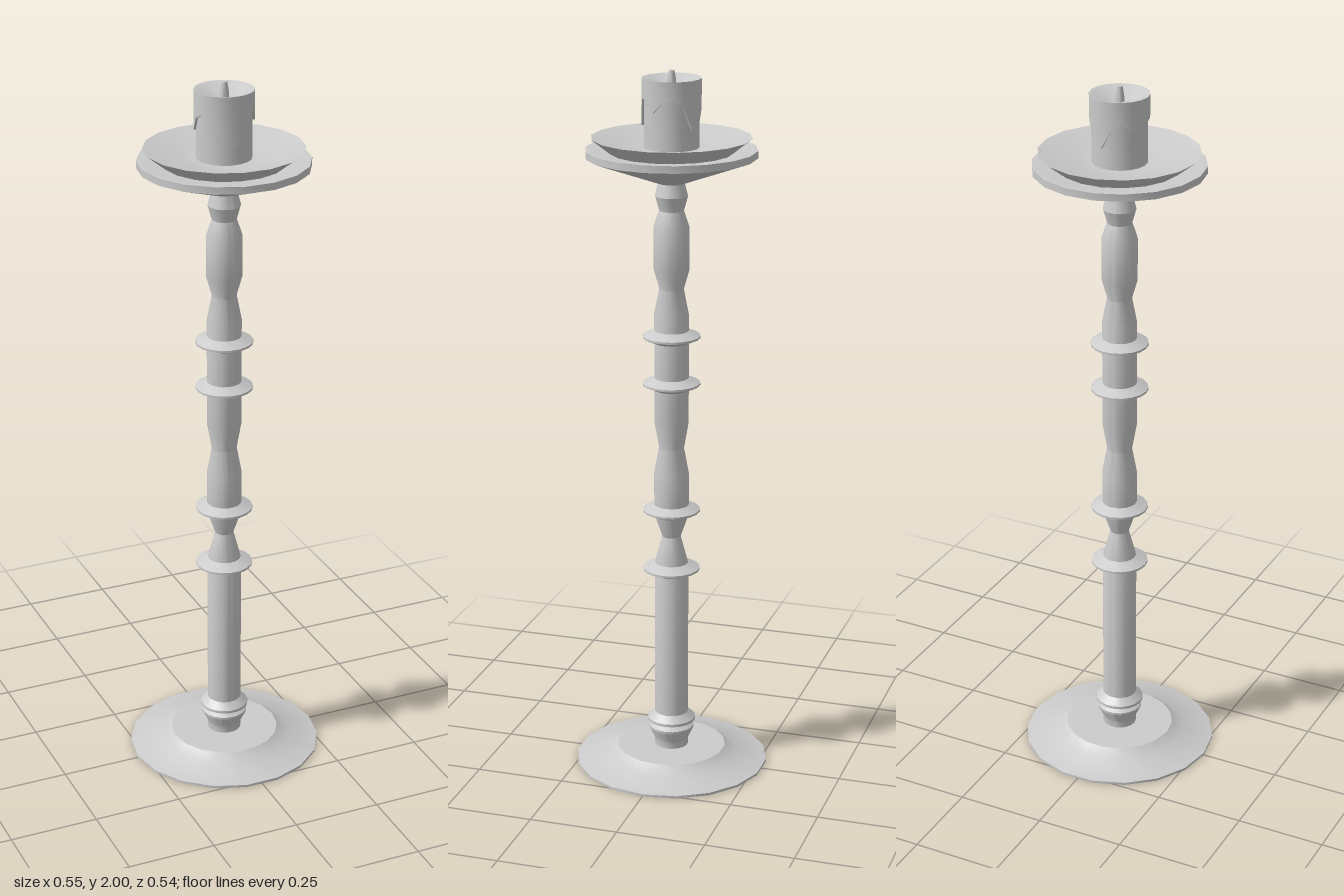
import * as THREE from 'three';
import { toCreasedNormals } from 'three/addons/utils/BufferGeometryUtils.js';

const SIDES = 18;
const material = new THREE.MeshStandardMaterial({ color: 0xcccccc, side: THREE.DoubleSide });

// Turned solid from [radius, height] pairs, bottom to top, with a corner on +x
function turned(profile) {
  const geometry = new THREE.LatheGeometry(profile.map(([r, y]) => new THREE.Vector2(r, y)), SIDES);
  return geometry.rotateY(Math.PI / 2);
}

function addPart(group, name, geometry) {
  const mesh = new THREE.Mesh(toCreasedNormals(geometry, THREE.MathUtils.degToRad(28)), material);
  mesh.name = name;
  group.add(mesh);
  return mesh;
}

export function createModel() {
  const group = new THREE.Group();
  group.name = 'candlestick';

  // Stepped foot
  addPart(group, 'base', turned([
    [0, 0], [0.275, 0], [0.275, 0.007], [0.185, 0.024], [0.155, 0.045], [0, 0.045],
  ]));

  // Turned stem
  addPart(group, 'stem', turned([
    [0.048, 0.04], [0.048, 0.065], [0.064, 0.098], [0.064, 0.105], [0.05, 0.114],
    [0.068, 0.122], [0.068, 0.13], [0.048, 0.148],
    [0.048, 0.6], [0.026, 0.683], [0.045, 0.738],
    [0.049, 0.77], [0.049, 0.87], [0.035, 0.945], [0.048, 1.02],
    [0.048, 1.33], [0.034, 1.402], [0.049, 1.455],
    [0.049, 1.575], [0.034, 1.62], [0.045, 1.66], [0.034, 1.705],
  ]));

  // Sharp-edged collars round the stem
  [0.587, 0.762, 1.132, 1.267].forEach((y, i) => {
    addPart(group, `collar${i + 1}`, turned([
      [0.046, -0.018], [0.08, -0.003], [0.08, 0.003], [0.046, 0.018],
    ])).position.y = y;
  });

  // Lower drip plate
  addPart(group, 'dripPlate', turned([
    [0, 1.695], [0.036, 1.695], [0.234, 1.768], [0.234, 1.788], [0.222, 1.788], [0.17, 1.78], [0, 1.78],
  ]));

  // Shallow bowl above the plate
  addPart(group, 'bowl', turned([
    [0.165, 1.778], [0.218, 1.82], [0.115, 1.796], [0.08, 1.793], [0, 1.793],
  ]));

  // Candle
  addPart(group, 'candle', turned([[0.075, 1.79], [0.075, 1.96]]));

  // Melted wax with a hollow top; heights of its drips run from +x towards the back
  const drips = [1.925, 1.93, 1.91, 1.85, 1.85, 1.9, 1.92, 1.9, 1.87,
    1.91, 1.925, 1.905, 1.87, 1.845, 1.85, 1.925, 1.93, 1.895];
  const wax = turned([
    [0.074, 1.9], [0.081, 1.9], [0.081, 1.98], [0.07, 1.978], [0.04, 1.962], [0, 1.957],
  ]);
  const pos = wax.attributes.position;
  const perColumn = 6;
  for (let i = 0; i <= SIDES; i++) {
    for (let j = 0; j < 2; j++) pos.setY(i * perColumn + j, drips[i % SIDES]);
  }
  addPart(group, 'meltedWax', wax);

  // Wick
  addPart(group, 'wick', turned([[0.013, 1.955], [0.012, 1.975], [0.008, 2], [0, 2]]));

  return group;
}
